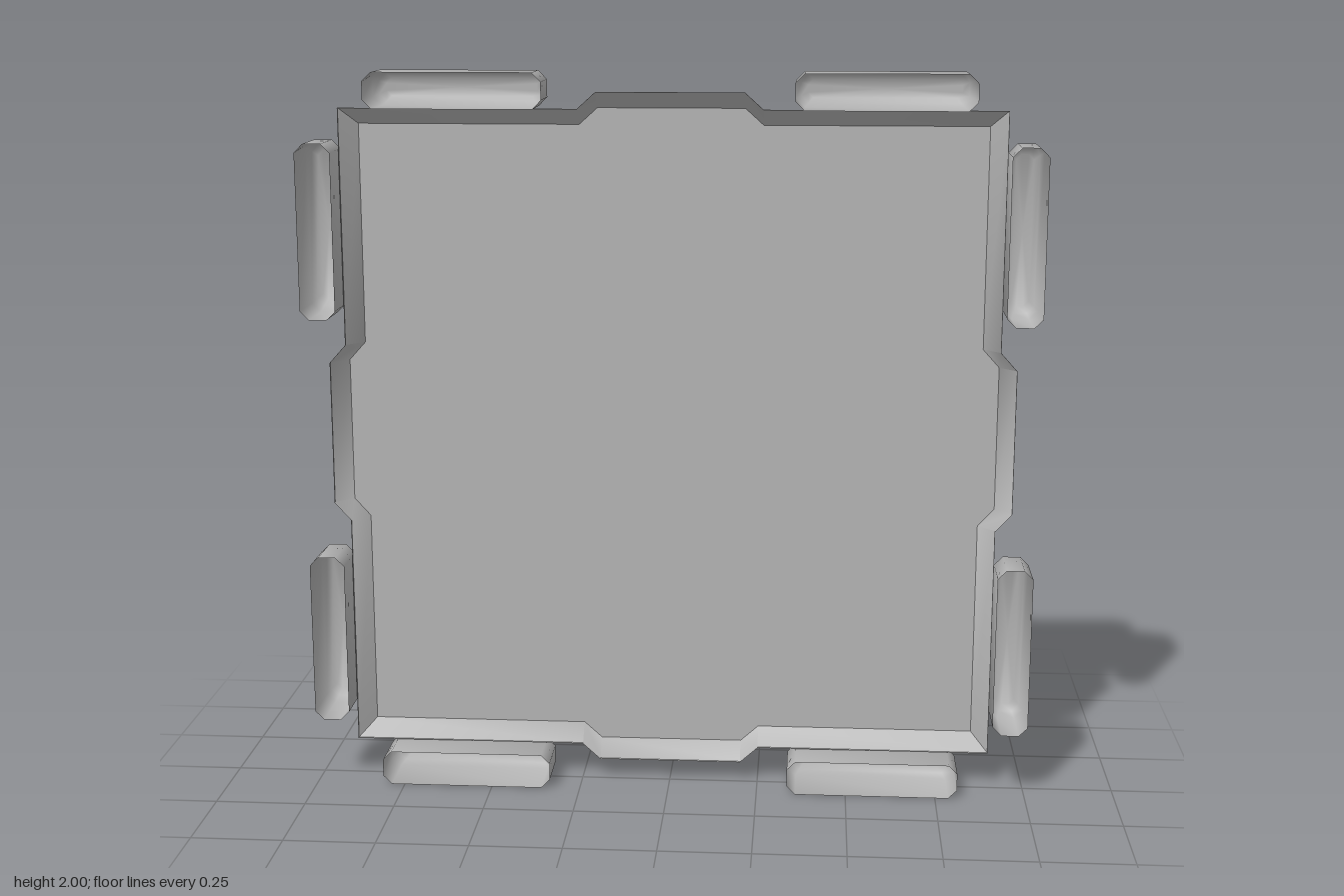
import * as THREE from 'three';
import { toCreasedNormals } from 'three/addons/utils/BufferGeometryUtils.js';

// Open shell: skin equal-length rings [points, z] from front to back, then close the back.
function shell(rings, crease) {
  const n = rings[0][0].length, pos = [], idx = [];
  for (const [pts, z] of rings) for (const [x, y] of pts) pos.push(x, y, z);
  const last = (rings.length - 1) * n, centre = rings.length * n;
  pos.push(0, 0, rings[rings.length - 1][1]);
  for (let i = 0; i < n; i++) {
    const j = (i + 1) % n;
    for (let r = 0; r < last; r += n) {
      idx.push(r + i, r + n + i, r + j, r + j, r + n + i, r + n + j);
    }
    idx.push(centre, last + j, last + i);
  }
  const g = new THREE.BufferGeometry();
  g.setAttribute('position', new THREE.Float32BufferAttribute(pos, 3));
  g.setIndex(idx);
  return toCreasedNormals(g, crease);
}

// Square outline with a tab in the middle of each side, half size s.
function tabbedSquare(s) {
  const pts = [];
  for (let k = 0; k < 4; k++) {
    const c = Math.round(Math.cos(k * Math.PI / 2)), d = Math.round(Math.sin(k * Math.PI / 2));
    for (const [x, y] of [[s, s], [0.25, s], [0.2, s + 0.045], [-0.2, s + 0.045], [-0.25, s]]) {
      pts.push([x * c - y * d, x * d + y * c]);
    }
  }
  return pts;
}

// Rectangle of half size w, h with cut corners.
function cutRectangle(w, h, c) {
  return [
    [w, -h + c], [w, h - c], [w - c, h], [-w + c, h],
    [-w, h - c], [-w, -h + c], [-w + c, -h], [w - c, -h],
  ];
}

export function createModel() {
  const model = new THREE.Group();
  model.name = 'tilePanel';
  const grey = new THREE.MeshStandardMaterial({ color: 0xb4b4b4, side: THREE.DoubleSide });
  grey.name = 'grey';

  // Shallow tray with bevelled, tabbed border
  const outer = tabbedSquare(0.9), inner = tabbedSquare(0.855);
  const panel = new THREE.Mesh(shell([[outer, -0.004], [outer, -0.012], [inner, -0.061]], 0.6), grey);
  panel.name = 'panel';
  panel.position.y = 1;
  model.add(panel);

  // Hollow edge pads, open at the front, two on each side
  const W = 0.238, H = 0.048;
  const padGeometry = shell([
    [cutRectangle(W, H, 0.024), 0.089],
    [cutRectangle(W, H, 0.024), -0.055],
    [cutRectangle(W - 0.014, H - 0.01, 0.02), -0.075],
    [cutRectangle(W - 0.032, H - 0.024, 0.014), -0.089],
  ], 1.0);
  ['top', 'left', 'bottom', 'right'].forEach((side, k) => {
    const pair = new THREE.Group();
    pair.name = side + 'Pads';
    for (const s of [-1, 1]) {
      const pad = new THREE.Mesh(padGeometry, grey);
      pad.name = 'edgePad';
      pad.position.set(s * 0.573, 0.952, 0);
      pair.add(pad);
    }
    pair.position.y = 1;
    pair.rotation.z = -k * Math.PI / 2;
    model.add(pair);
  });
  return model;
}
